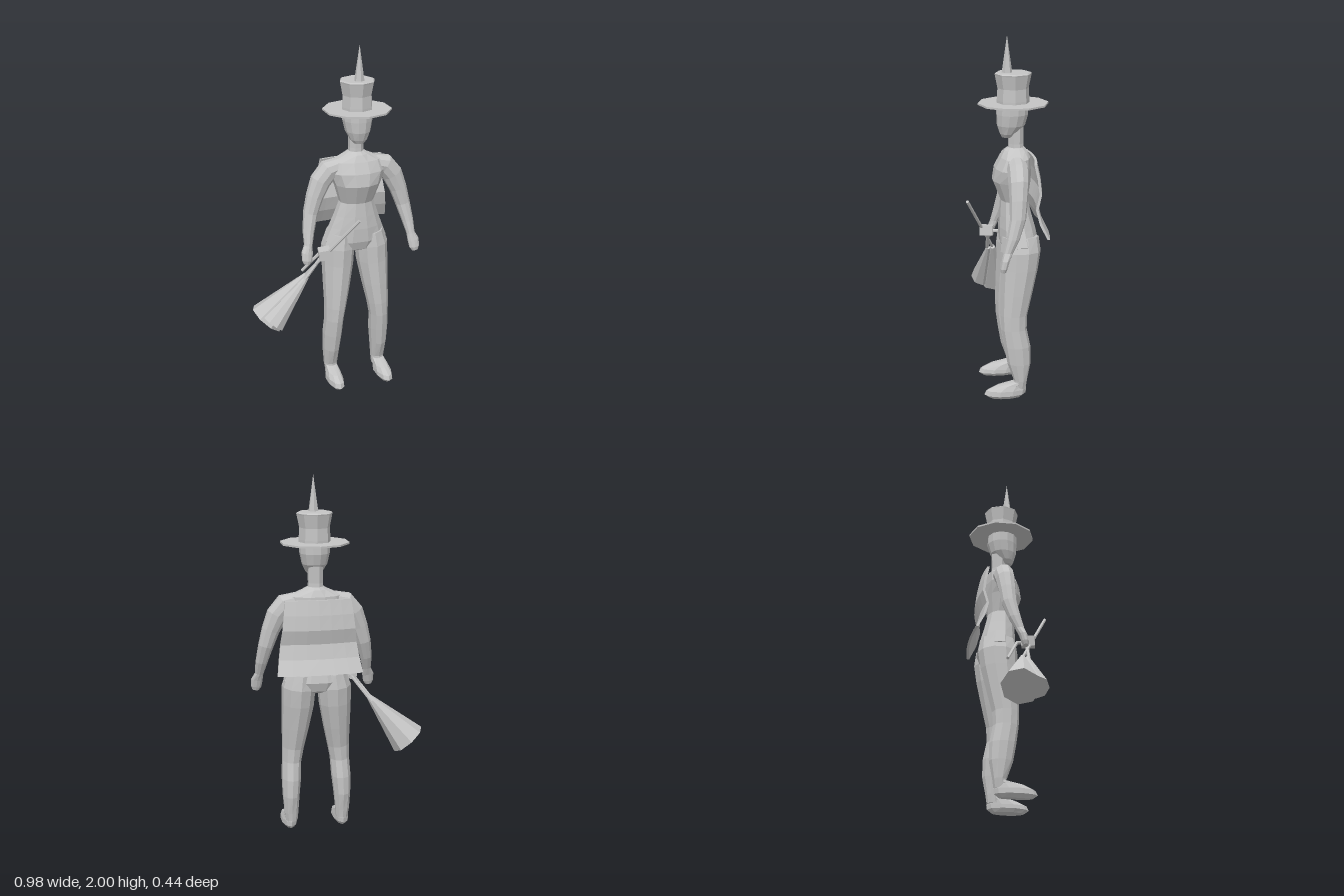
import * as THREE from 'three';

const grey = new THREE.MeshStandardMaterial({ color: 0xc4c4c4 });
grey.name = 'plain grey';
grey.flatShading = true;

function part(parent, name, geo) {
  const mesh = new THREE.Mesh(geo, grey);
  mesh.name = name;
  parent.add(mesh);
  return mesh;
}

// Closed skin over elliptical sections [x, y, z, half width, half depth],
// each square to the path in the xy plane
function loft(sections, sides = 10) {
  const pos = [], idx = [], n = sections.length;
  sections.forEach(([x, y, z, rw, rd], i) => {
    const a = sections[Math.max(i - 1, 0)], b = sections[Math.min(i + 1, n - 1)];
    const len = Math.hypot(b[0] - a[0], b[1] - a[1]) || 1;
    const ux = (b[1] - a[1]) / len, uy = -(b[0] - a[0]) / len;
    for (let j = 0; j < sides; j++) {
      const t = (j + 0.5) / sides * Math.PI * 2;
      const c = Math.cos(t) * rw;
      pos.push(x + ux * c, y + uy * c, z + Math.sin(t) * rd);
    }
  });
  for (let i = 0; i < n - 1; i++) for (let j = 0; j < sides; j++) {
    const k = (j + 1) % sides, p = i * sides, q = p + sides;
    idx.push(p + j, q + j, p + k, p + k, q + j, q + k);
  }
  const c0 = n * sides, last = (n - 1) * sides;
  pos.push(...sections[0].slice(0, 3), ...sections[n - 1].slice(0, 3));
  for (let j = 0; j < sides; j++) {
    const k = (j + 1) % sides;
    idx.push(c0, j, k, c0 + 1, last + k, last + j);
  }
  const g = new THREE.BufferGeometry();
  g.setAttribute('position', new THREE.Float32BufferAttribute(pos, 3));
  g.setIndex(idx);
  g.computeVertexNormals();
  return g;
}

// Straight round bar from a to b
function bar(parent, name, a, b, ra, rb, sides) {
  const p = new THREE.Vector3(...a), q = new THREE.Vector3(...b);
  const d = q.clone().sub(p);
  const mesh = part(parent, name, new THREE.CylinderGeometry(rb, ra, d.length(), sides));
  mesh.position.copy(p).add(q).multiplyScalar(0.5);
  mesh.quaternion.setFromUnitVectors(new THREE.Vector3(0, 1, 0), d.normalize());
  return mesh;
}

function addBody(body) {
  part(body, 'torso', loft([
    [0, 0.81, -0.06, 0.05, 0.05], [0, 0.83, -0.06, 0.14, 0.09],
    [0, 0.88, -0.06, 0.188, 0.108], [0, 0.96, -0.05, 0.155, 0.1],
    [0, 1.03, -0.042, 0.128, 0.088], [0, 1.11, -0.035, 0.1, 0.075],
    [0, 1.22, -0.02, 0.135, 0.105], [0, 1.29, -0.027, 0.165, 0.1],
    [0, 1.35, -0.04, 0.15, 0.082], [0, 1.385, -0.042, 0.07, 0.062],
    [0, 1.4, -0.045, 0.045, 0.045]], 12));
  part(body, 'neck', loft([
    [0, 1.37, -0.047, 0.046, 0.046], [0, 1.42, -0.045, 0.042, 0.042],
    [0, 1.53, -0.045, 0.044, 0.044]], 8));
  part(body, 'head', loft([
    [0, 1.455, 0.002, 0.03, 0.03], [0, 1.475, -0.002, 0.048, 0.045],
    [0, 1.52, -0.018, 0.07, 0.076], [0, 1.58, -0.025, 0.083, 0.086],
    [0, 1.64, -0.025, 0.085, 0.085]], 12));

  for (const s of [-1, 1]) {
    const side = s > 0 ? 'left' : 'right';
    part(body, side + 'Leg', loft([
      [s * 0.145, 0.05, -0.05, 0.034, 0.036], [s * 0.147, 0.1, -0.055, 0.04, 0.038],
      [s * 0.147, 0.2, -0.047, 0.048, 0.065], [s * 0.143, 0.3, -0.037, 0.055, 0.073],
      [s * 0.138, 0.4, -0.02, 0.055, 0.07], [s * 0.13, 0.48, -0.02, 0.062, 0.074],
      [s * 0.118, 0.6, -0.035, 0.076, 0.088], [s * 0.105, 0.74, -0.053, 0.09, 0.102],
      [s * 0.1, 0.84, -0.06, 0.094, 0.11], [s * 0.09, 0.92, -0.06, 0.075, 0.1]]));
    part(body, side + 'Foot', loft([
      [s * 0.148, 0, 0.03, 0.03, 0.09], [s * 0.15, 0.02, 0.032, 0.046, 0.116],
      [s * 0.15, 0.045, 0.025, 0.045, 0.112], [s * 0.148, 0.07, 0, 0.038, 0.082],
      [s * 0.147, 0.09, -0.045, 0.034, 0.035]]));
    // Arm sweeps out from the shoulder and ends in a mitten hand
    part(body, side + 'Arm', loft([
      [s * 0.1, 1.32, -0.037, 0.05, 0.055], [s * 0.165, 1.302, -0.036, 0.062, 0.058],
      [s * 0.212, 1.245, -0.033, 0.06, 0.055], [s * 0.248, 1.16, -0.027, 0.05, 0.048],
      [s * 0.275, 1.07, -0.02, 0.042, 0.043], [s * 0.297, 0.97, 0.008, 0.033, 0.035],
      [s * 0.307, 0.9, 0.035, 0.024, 0.025], [s * 0.318, 0.86, 0.05, 0.033, 0.022],
      [s * 0.322, 0.82, 0.06, 0.03, 0.02], [s * 0.325, 0.8, 0.063, 0.018, 0.014]]));
  }
}

function addHat(body) {
  const brim = part(body, 'hatBrim', new THREE.CylinderGeometry(0.19, 0.19, 0.01, 10));
  brim.position.set(0, 1.637, -0.03);
  const profile = [[0, 1.635], [0.088, 1.635], [0.088, 1.655], [0.084, 1.72],
    [0.098, 1.79], [0.1, 1.797], [0.092, 1.803], [0, 1.803]];
  const crown = part(body, 'hatCrown',
    new THREE.LatheGeometry(profile.map(p => new THREE.Vector2(...p)), 8));
  crown.position.z = -0.03;
  const spike = part(body, 'hatSpike', new THREE.ConeGeometry(0.03, 0.21, 6));
  spike.position.set(0, 1.895, 0.003);
}

// Wavy cape sheet: each row has its height, depth and half width
function addCape(body) {
  const rows = [[0.94, -0.212, 0.235], [1.02, -0.172, 0.222], [1.1, -0.152, 0.21],
    [1.18, -0.172, 0.2], [1.26, -0.163, 0.192], [1.34, -0.146, 0.182]];
  const g = new THREE.BoxGeometry(2, 1, 0.014, 6, 5, 1);
  const p = g.attributes.position;
  for (let i = 0; i < p.count; i++) {
    const u = p.getX(i);
    const [y, z, w] = rows[Math.round((p.getY(i) + 0.5) * 5)];
    p.setXYZ(i, u * w, y, z + p.getZ(i) + 0.02 * u * u);
  }
  g.computeVertexNormals();
  part(body, 'cape', g);
}

function addBroom(broom) {
  bar(broom, 'handle', [0.068, 1.08, 0.213], [-0.225, 0.685, 0.025], 0.009, 0.009, 6);
  const block = part(broom, 'gripBlock', new THREE.BoxGeometry(0.065, 0.055, 0.075));
  block.position.set(-0.093, 0.862, 0.09);
  block.rotation.set(0, -0.2, 0.15);
  bar(broom, 'gripBar', [-0.09, 0.86, 0.1], [-0.08, 0.86, 0.025], 0.01, 0.01, 6);
  bar(broom, 'lowerRod', [-0.08, 0.86, 0.03], [-0.185, 0.72, -0.035], 0.009, 0.009, 6);
  bar(broom, 'sideRod', [-0.1, 0.85, 0.08], [-0.215, 0.7, 0.075], 0.01, 0.01, 6);
  // Main bristle bundle and a smaller one beside it
  bar(broom, 'bristles', [-0.41, 0.47, 0.0], [-0.185, 0.73, 0.045], 0.105, 0.014, 8);
  bar(broom, 'sideBristles', [-0.395, 0.475, 0.085], [-0.19, 0.725, 0.07], 0.066, 0.012, 8);
}

export function createModel() {
  const model = new THREE.Group();
  model.name = 'figure';
  const body = new THREE.Group();
  body.name = 'body';
  body.position.x = 0.137;
  const broom = new THREE.Group();
  broom.name = 'broom';
  model.add(body, broom);
  addBody(body);
  addHat(body);
  addCape(body);
  addBroom(broom);
  return model;
}
